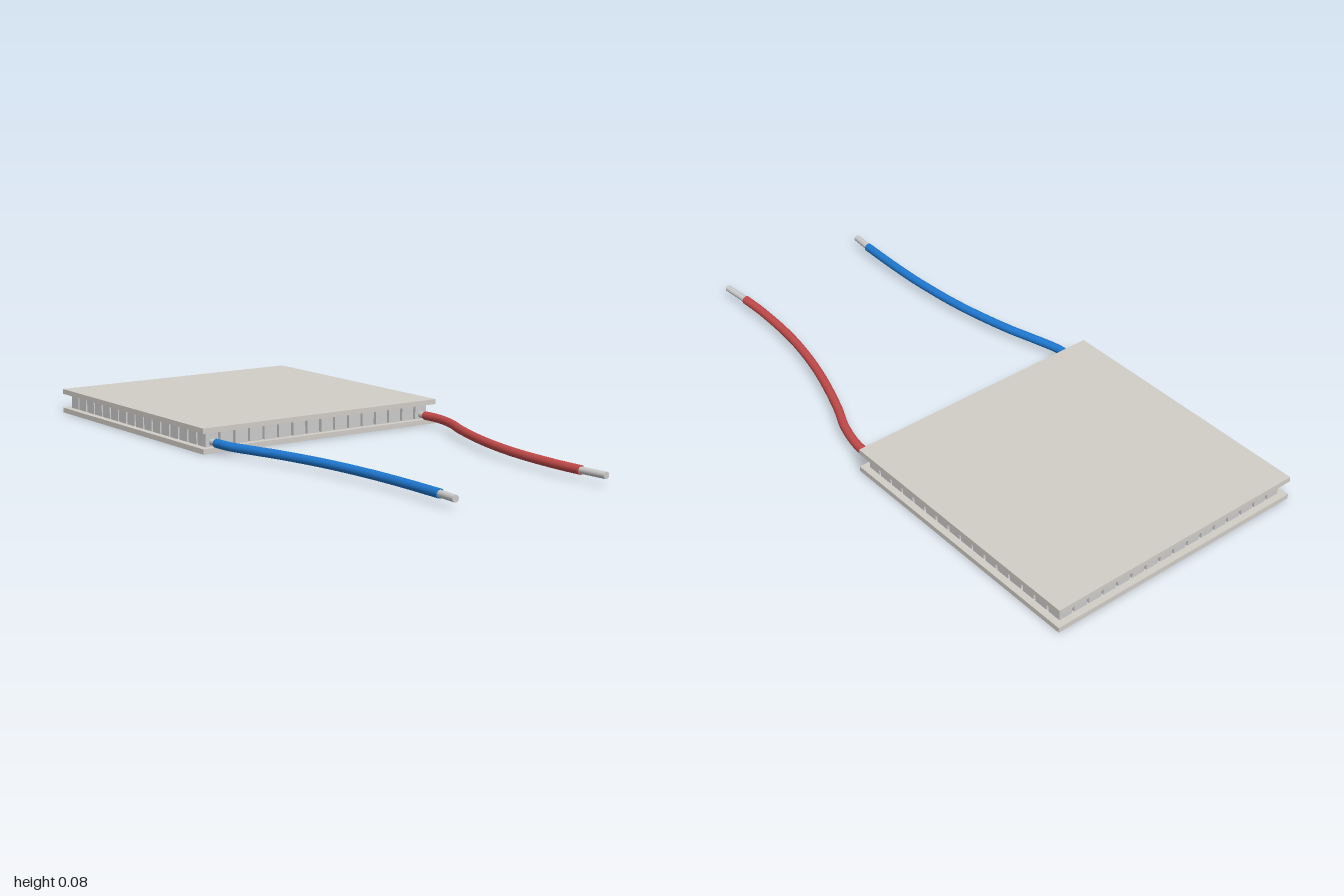
import * as THREE from 'three';

const paint = (color) => new THREE.MeshStandardMaterial({ color });

export function createModel() {
  const model = new THREE.Group();
  const ceramic = paint(0xd2cdc7), metal = paint(0xcccccc);
  const size = 0.928, cx = -0.536, plateH = 0.017, height = 0.083;

  const add = (geometry, material, name, parent = model) => {
    const mesh = new THREE.Mesh(geometry, material);
    mesh.name = name;
    parent.add(mesh);
    return mesh;
  };

  // Ceramic plates
  const plate = new THREE.BoxGeometry(size, plateH, size);
  add(plate, ceramic, 'bottomPlate').position.set(cx, plateH / 2, 0);
  add(plate, ceramic, 'topPlate').position.set(cx, height - plateH / 2, 0);

  // Square grid of pellets between the plates
  const pellets = new THREE.Group();
  pellets.name = 'pellets';
  model.add(pellets);
  const count = 16, pitch = 0.0557;
  const pellet = new THREE.BoxGeometry(0.047, height - 2 * plateH, 0.047);
  for (let i = 0; i < count; i++) {
    for (let j = 0; j < count; j++) {
      add(pellet, metal, 'pellet', pellets).position.set(
        cx + (i - (count - 1) / 2) * pitch, height / 2, (j - (count - 1) / 2) * pitch);
    }
  }

  // Round rod with closed ends, swept along [x, z] points
  const wireY = 0.0315;
  const rod = (points, radius, steps, material, name, parent) => {
    const curve = new THREE.CatmullRomCurve3(points.map(([x, z]) => new THREE.Vector3(x, wireY, z)));
    add(new THREE.TubeGeometry(curve, steps, radius, 20), material, name, parent);
    for (const t of [0, 1]) {
      const cap = add(new THREE.CircleGeometry(radius, 20), material, name + 'Cap', parent);
      const dir = curve.getTangent(t).multiplyScalar(t ? 1 : -1);
      cap.position.copy(curve.getPoint(t));
      cap.quaternion.setFromUnitVectors(new THREE.Vector3(0, 0, 1), dir);
    }
  };

  // Insulated leads with bare metal at both ends
  const lead = (name, color, path, tip) => {
    const group = new THREE.Group();
    group.name = name;
    model.add(group);
    const [sx, sz] = path[0], end = path[path.length - 1];
    rod(path, 0.0145, 64, paint(color), 'insulation', group);
    rod([[sx - 0.025, sz], [sx + 0.01, sz]], 0.011, 1, metal, 'bareStart', group);
    rod([end, tip], 0.011, 1, metal, 'bareTip', group);
  };
  lead('redLead', 0xc24a4a, [[-0.07, -0.418], [0, -0.417], [0.1, -0.393], [0.2, -0.35],
    [0.4, -0.283], [0.6, -0.242], [0.8, -0.228], [0.9, -0.23]], [1, -0.237]);
  lead('blueLead', 0x1f78d1, [[-0.07, 0.417], [0, 0.413], [0.1, 0.387], [0.2, 0.359],
    [0.4, 0.321], [0.6, 0.303], [0.75, 0.3], [0.905, 0.303]], [0.98, 0.309]);

  return model;
}
